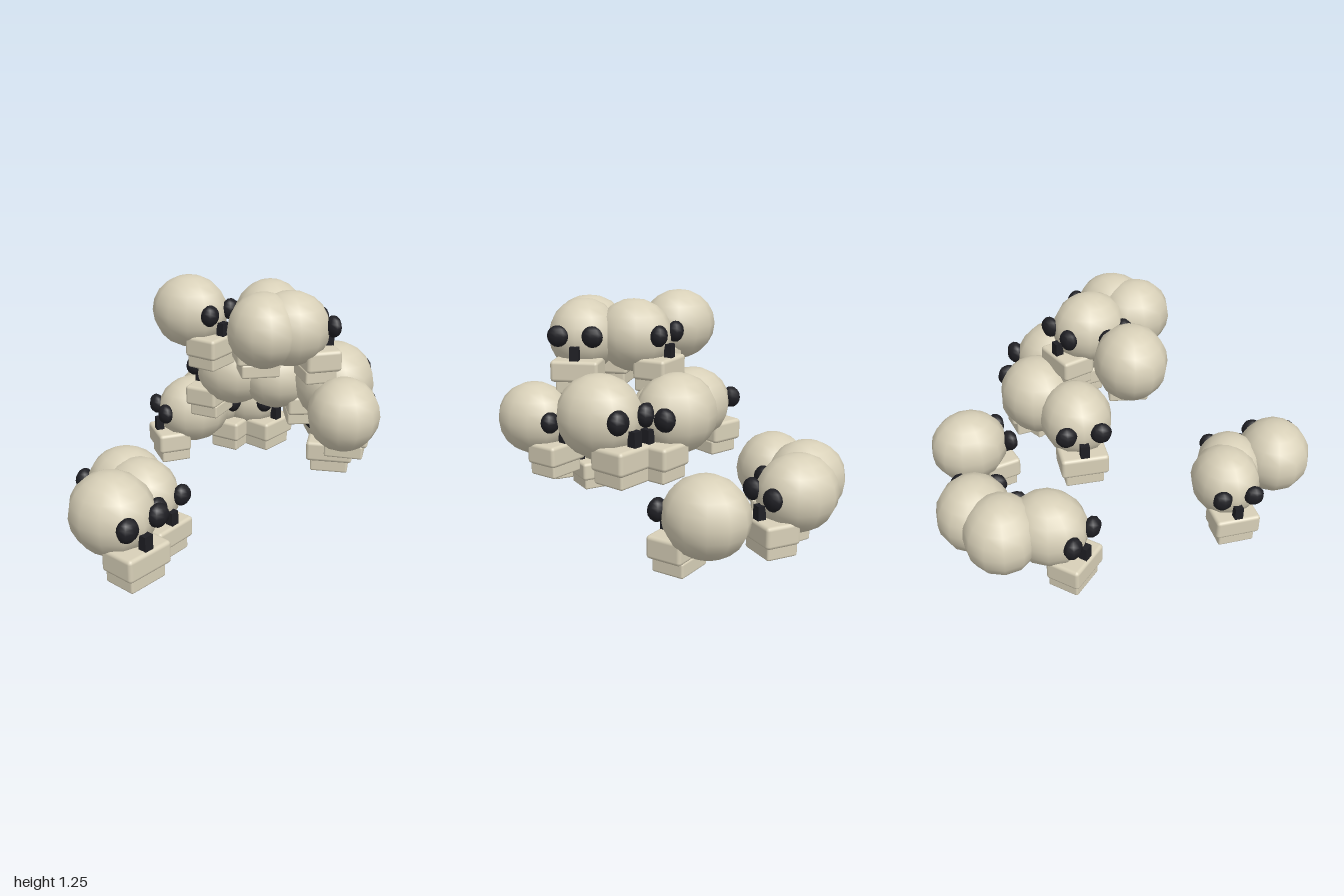
import * as THREE from 'three';
import { RoundedBoxGeometry } from 'three/addons/geometries/RoundedBoxGeometry.js';

const bone = new THREE.MeshStandardMaterial({ color: 0xd8d0b8 });
const dark = new THREE.MeshStandardMaterial({ color: 0x1f1f24 });

// shared skull parts, facing +z and standing on y = 0
const craniumGeo = new THREE.SphereGeometry(0.207, 12, 10);
const eyeGeo = new THREE.SphereGeometry(0.06, 8, 8);
const noseGeo = new THREE.BoxGeometry(0.05, 0.1, 0.045);
const cheekGeo = new RoundedBoxGeometry(0.27, 0.12, 0.2, 2, 0.02);
const jawGeo = new RoundedBoxGeometry(0.22, 0.08, 0.18, 2, 0.012);

function part(parent, name, geo, mat, x, y, z) {
  const mesh = new THREE.Mesh(geo, mat);
  mesh.name = name;
  mesh.position.set(x, y, z);
  parent.add(mesh);
  return mesh;
}

function createSkull() {
  const g = new THREE.Group();
  g.name = 'skull';
  part(g, 'cranium', craniumGeo, bone, 0, 0.298, 0).scale.set(0.98, 1, 1.08);
  part(g, 'upperJaw', cheekGeo, bone, 0, 0.13, 0.16);
  part(g, 'lowerJaw', jawGeo, bone, 0, 0.04, 0.15);
  for (const side of [-1, 1]) {
    const name = side > 0 ? 'leftEyeSocket' : 'rightEyeSocket';
    part(g, name, eyeGeo, dark, side * 0.097, 0.32, 0.212).scale.z = 0.75;
  }
  part(g, 'noseHole', noseGeo, dark, 0, 0.215, 0.225);
  return g;
}

// layers of the pile: base height and skulls as [x, z, yaw in degrees, scale]
const layers = [
  { name: 'bottomLayer', y: 0, skulls: [
    [-0.69, 0.705, 40, 1],
    [-0.54, 0.48, 43, 0.91],
    [-0.60, 0.355, -124, 0.93],
    [-0.145, -0.585, -79, 0.98],
    [0, -0.78, 50, 1],
    [0.23, -0.76, 40, 0.99],
    [0.685, -0.38, -20, 1],
  ] },
  { name: 'middleLayer', y: 0.4, skulls: [
    [0.465, 0.555, 157, 0.89],
    [0.515, 0.195, 154, 1.03],
    [0.035, -0.165, -126, 0.94],
    [0.33, -0.15, 65, 1],
    [0.26, -0.07, 85, 0.89],
  ] },
  { name: 'topLayer', y: 0.79, skulls: [
    [-0.22, -0.03, 46, 0.92],
    [0.095, 0.38, 180, 0.91],
    [0.23, 0.365, 95, 0.91],
    [0.18, 0.11, 166, 0.91],
  ] },
];

export function createModel() {
  const model = new THREE.Group();
  model.name = 'skullPile';
  for (const layer of layers) {
    const g = new THREE.Group();
    g.name = layer.name;
    g.position.y = layer.y;
    for (const [x, z, yaw, s] of layer.skulls) {
      const skull = createSkull();
      skull.position.set(x, 0, z);
      skull.rotation.y = THREE.MathUtils.degToRad(yaw);
      skull.scale.setScalar(s);
      g.add(skull);
    }
    model.add(g);
  }
  return model;
}
